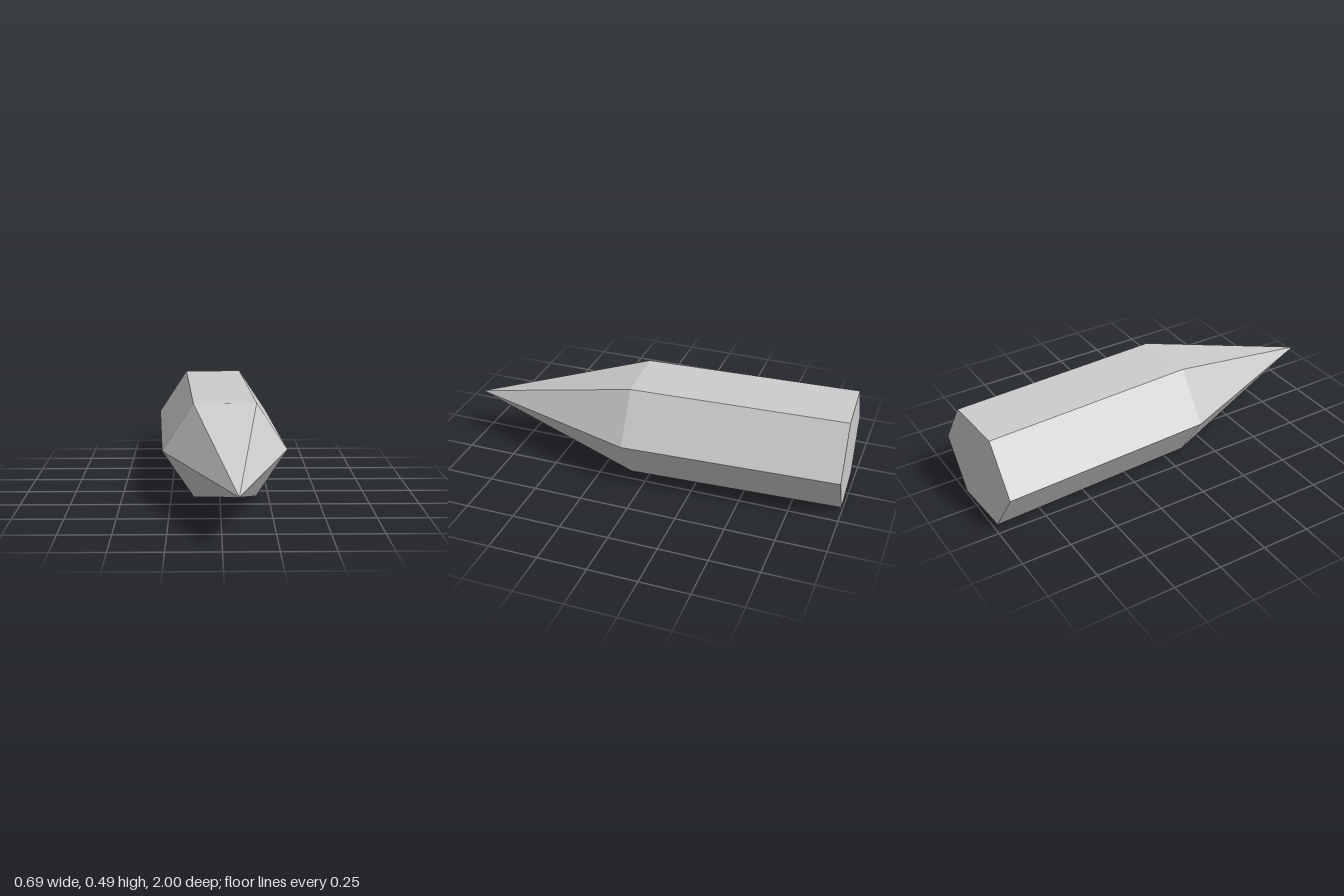
import * as THREE from 'three';

const RADIUS = 0.3205;
const BODY_LENGTH = 1.091;
const TIP_LENGTH = 0.896;

export function createModel() {
  const group = new THREE.Group();
  group.name = 'crystal';

  const grey = new THREE.MeshStandardMaterial({ color: 0xcccccc, flatShading: true });
  grey.name = 'pale grey';

  // Slightly flattened hexagonal shard, turned a little about y
  const shard = new THREE.Group();
  shard.name = 'shard';
  shard.position.set(0.027, 0.2437, 0.105);
  shard.rotation.y = 0.0495;
  shard.scale.y = 0.878;
  group.add(shard);

  const add = (name, geometry) => {
    const mesh = new THREE.Mesh(geometry, grey);
    mesh.name = name;
    shard.add(mesh);
  };

  // Six-sided body running back from the shoulder, corners on +x and -x
  add('body', new THREE.CylinderGeometry(RADIUS, RADIUS, BODY_LENGTH, 6, 1, true, Math.PI / 2)
    .rotateX(Math.PI / 2).translate(0, 0, -BODY_LENGTH / 2));

  // Flat back end
  add('backFace', new THREE.CircleGeometry(RADIUS, 6)
    .rotateY(Math.PI).translate(0, 0, -BODY_LENGTH));

  // Pointed front
  add('tip', new THREE.ConeGeometry(RADIUS, TIP_LENGTH, 6, 1, true, Math.PI / 2)
    .rotateX(Math.PI / 2).translate(0, 0, TIP_LENGTH / 2));

  return group;
}
